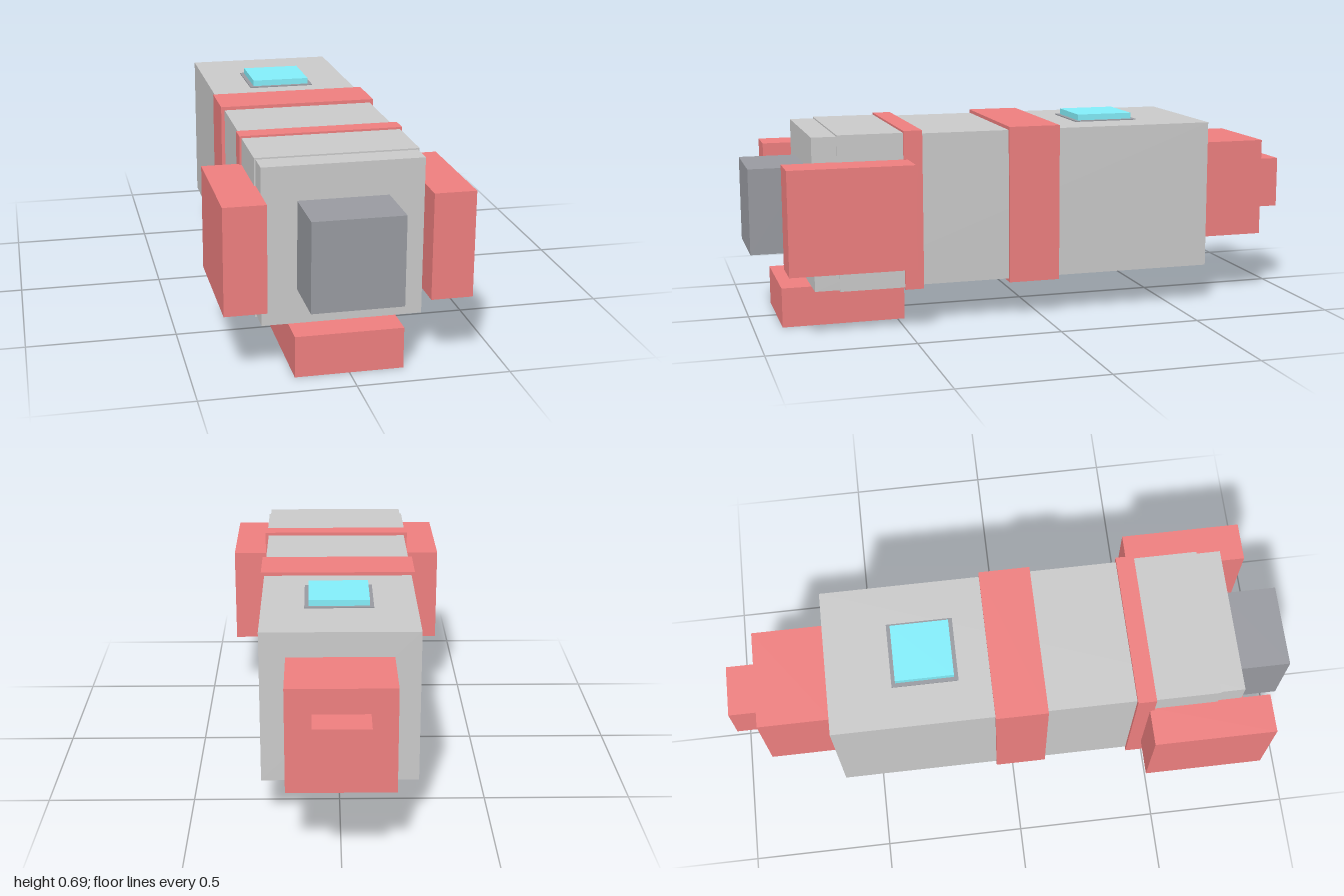
import * as THREE from 'three';

export function createModel() {
  const model = new THREE.Group();
  const paint = (color) => new THREE.MeshStandardMaterial({ color, flatShading: true });
  const grey = paint(0xcccccc);
  const red = paint(0xf08080);
  const dark = paint(0x9a9ca2);
  const cyan = paint(0x84f0fc);
  const axisY = 0.4025; // height of the hull's long axis

  // Box given by its extents along each axis
  function block(name, material, [x0, x1], [y0, y1], [z0, z1]) {
    const mesh = new THREE.Mesh(new THREE.BoxGeometry(x1 - x0, y1 - y0, z1 - z0), material);
    mesh.position.set((x0 + x1) / 2, (y0 + y1) / 2, (z0 + z1) / 2);
    mesh.name = name;
    model.add(mesh);
  }
  // Square section centred on the long axis
  function section(name, material, half, z) {
    block(name, material, [-half, half], [axisY - half, axisY + half], z);
  }

  // Hull, front to back
  section('noseBlock', dark, 0.148, [0.8, 1.0]);
  section('hull', grey, 0.263, [-0.632, 0.8]);
  section('frontCollar', grey, 0.268, [0.49, 0.715]);
  section('frontBand', red, 0.275, [0.425, 0.49]);
  section('middleBand', red, 0.275, [-0.065, 0.117]);
  section('tailBlock', red, 0.177, [-0.89, -0.632]);
  section('tailTip', red, 0.092, [-1.0, -0.89]);

  // Pods on both sides and underneath
  const podZ = [0.475, 0.902];
  const podY = [axisY - 0.177, axisY + 0.177];
  block('leftPod', red, [0.263, 0.4], podY, podZ);
  block('rightPod', red, [-0.4, -0.263], podY, podZ);
  block('lowerPod', red, [-0.177, 0.177], [0, 0.138], podZ);

  // Hatch on the roof
  block('hatchFrame', dark, [-0.117, 0.117], [0.65, 0.669], [-0.408, -0.176]);
  block('hatchGlass', cyan, [-0.103, 0.103], [0.65, 0.69], [-0.394, -0.19]);

  return model;
}
